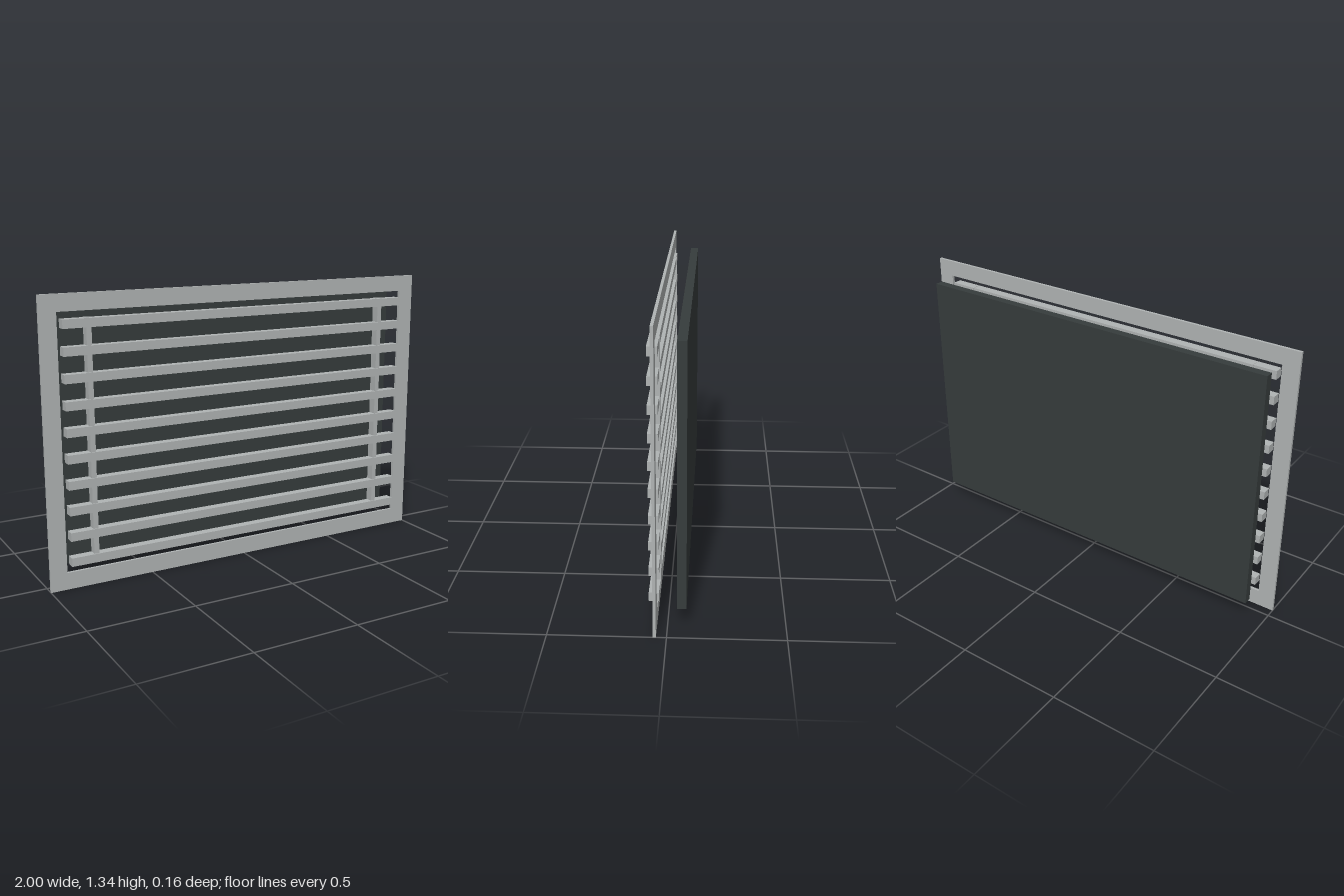
import * as THREE from 'three';

export function createModel() {
  const group = new THREE.Group();
  const metal = new THREE.MeshStandardMaterial({ color: 0xb0b4b4 });
  metal.name = 'light grey metal';
  const dark = new THREE.MeshStandardMaterial({ color: 0x363c3c });
  dark.name = 'dark grey panel';

  // box given by its limits on each axis
  const box = (name, material, [x0, x1], [y0, y1], [z0, z1]) => {
    const mesh = new THREE.Mesh(new THREE.BoxGeometry(x1 - x0, y1 - y0, z1 - z0), material);
    mesh.position.set((x0 + x1) / 2, (y0 + y1) / 2, (z0 + z1) / 2);
    mesh.name = name;
    group.add(mesh);
  };

  // thin flat frame with a rectangular opening
  const rectangle = (path, x, y0, y1) =>
    path.moveTo(-x, y0).lineTo(x, y0).lineTo(x, y1).lineTo(-x, y1).closePath();
  const outline = rectangle(new THREE.Shape(), 1, 0, 1.335);
  outline.holes.push(rectangle(new THREE.Path(), 0.92, 0.08, 1.258));
  const frame = new THREE.Mesh(
    new THREE.ExtrudeGeometry(outline, { depth: 0.013, bevelEnabled: false }), metal);
  frame.position.z = 0.044;
  frame.name = 'frame';
  group.add(frame);

  // horizontal slats
  for (let i = 0; i < 10; i++) {
    const y = 0.133 + i * 0.1193;
    box('slat', metal, [-0.903, 0.903], [y - 0.02, y + 0.02], [0.036, 0.079]);
  }

  // upright bars joining the slats
  for (const x of [-0.782, 0.782]) {
    box('uprightBar', metal, [x - 0.012, x + 0.012], [0.11, 1.228], [0.033, 0.073]);
  }

  // panel standing behind the grille
  box('backPanel', dark, [-0.915, 0.915], [0.085, 1.253], [-0.08, -0.04]);

  return group;
}
